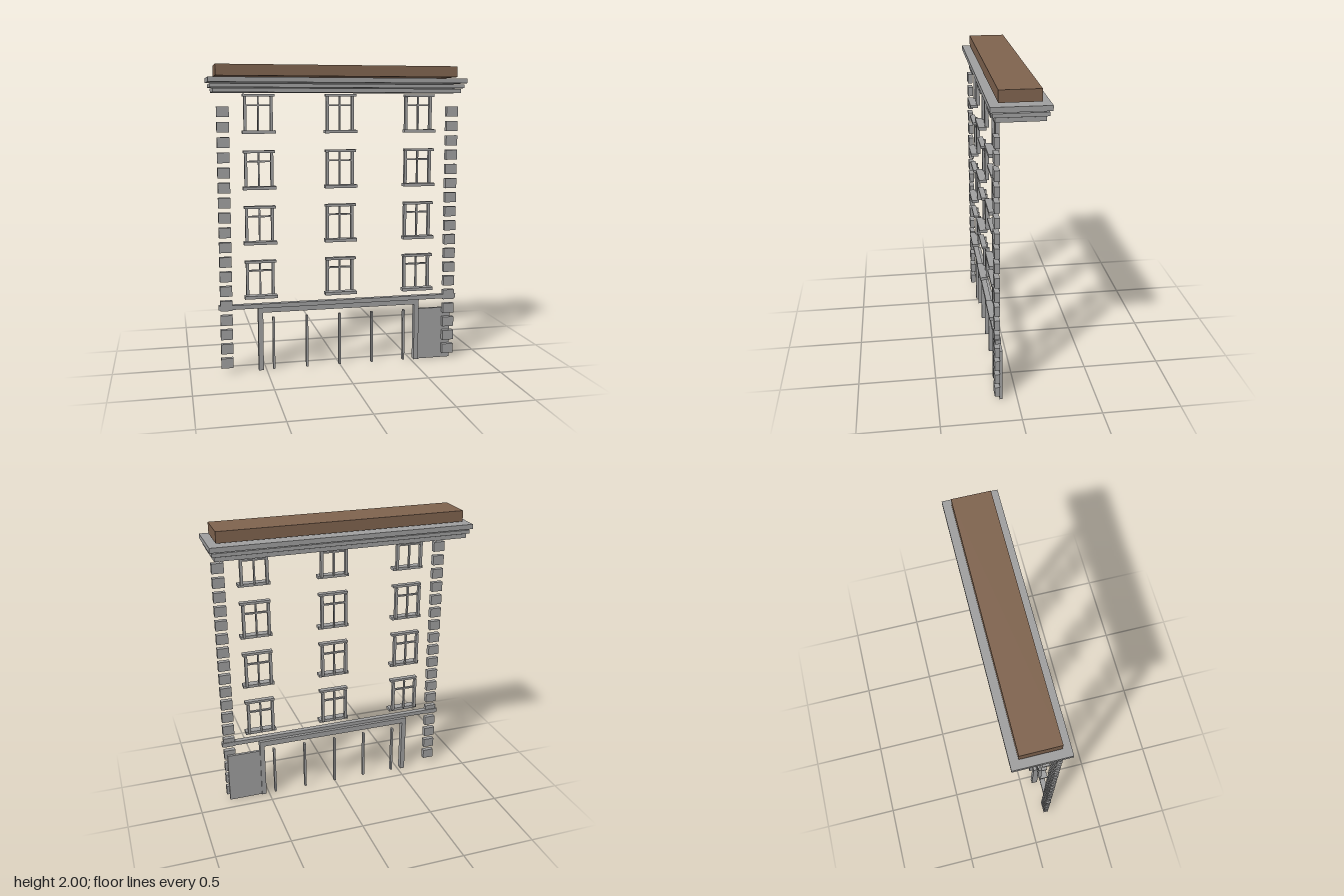
import * as THREE from 'three';

const stone = new THREE.MeshStandardMaterial({ color: 0xa0a0a0 });
stone.name = 'grey stone';
const roofBrown = new THREE.MeshStandardMaterial({ color: 0x80644f });
roofBrown.name = 'roof brown';

// Box given by its extents along each axis
function block(parent, name, [x0, x1], [y0, y1], [z0, z1], material = stone) {
  const mesh = new THREE.Mesh(new THREE.BoxGeometry(x1 - x0, y1 - y0, z1 - z0), material);
  mesh.position.set((x0 + x1) / 2, (y0 + y1) / 2, (z0 + z1) / 2);
  mesh.name = name;
  parent.add(mesh);
  return mesh;
}

const span = (half) => [-half, half];

// Window trim around its own centre line, heights from the sill's underside
function makeWindow() {
  const g = new THREE.Group();
  g.name = 'window';
  block(g, 'sill', span(0.107), [0, 0.02], [0.106, 0.157]);
  block(g, 'lintel', span(0.102), [0.234, 0.25], [0.108, 0.143]);
  for (const s of [-1, 1]) {
    const x = s * 0.084;
    block(g, 'jamb', [x - 0.009, x + 0.009], [0.014, 0.236], [0.09, 0.115]);
  }
  block(g, 'mullion', span(0.005), [0.014, 0.236], [0.092, 0.11]);
  block(g, 'transom', span(0.077), [0.173, 0.183], [0.092, 0.109]);
  return g;
}

export function createModel() {
  const building = new THREE.Group();
  building.name = 'buildingFacade';

  // Roof and stepped cornice
  block(building, 'roof', span(0.8), [1.929, 2], span(0.121), roofBrown);
  block(building, 'corniceTop', span(0.85), [1.888, 1.919], span(0.172));
  block(building, 'corniceMiddle', span(0.836), [1.856, 1.879], span(0.157));
  block(building, 'corniceBottom', span(0.82), [1.825, 1.851], span(0.142));

  // Corner stones up both edges
  for (const s of [-1, 1]) {
    const quoins = new THREE.Group();
    quoins.name = s > 0 ? 'leftQuoins' : 'rightQuoins';
    for (let i = 0; i < 18; i++) {
      const y = 0.069 + i * 0.0961;
      block(quoins, 'quoin', [s * 0.76 - 0.039, s * 0.76 + 0.039], [y - 0.033, y + 0.033], [0.111, 0.144]);
    }
    building.add(quoins);
  }

  // Four floors of three windows
  for (let row = 0; row < 4; row++) {
    for (const x of [-0.533, 0, 0.533]) {
      const w = makeWindow();
      w.position.set(x, 0.494 + row * 0.357, 0);
      building.add(w);
    }
  }

  // Band above the ground floor
  block(building, 'stringCourse', span(0.81), [0.427, 0.455], [0.106, 0.142]);

  // Shopfront surround, glazing bars and side panel
  const shop = new THREE.Group();
  shop.name = 'shopfront';
  for (const s of [-1, 1]) {
    block(shop, 'shopPost', [s * 0.536 - 0.016, s * 0.536 + 0.016], [0, 0.392], [0.084, 0.125]);
  }
  block(shop, 'shopHeader', span(0.552), [0.392, 0.43], [0.084, 0.125]);
  for (let i = -2; i <= 2; i++) {
    const x = i * 0.2245;
    block(shop, 'glazingBar', [x - 0.007, x + 0.007], [0, 0.353], [0.09, 0.115]);
  }
  block(shop, 'sidePanel', [0.55, 0.781], [0, 0.356], [0.093, 0.112]);
  building.add(shop);

  return building;
}
